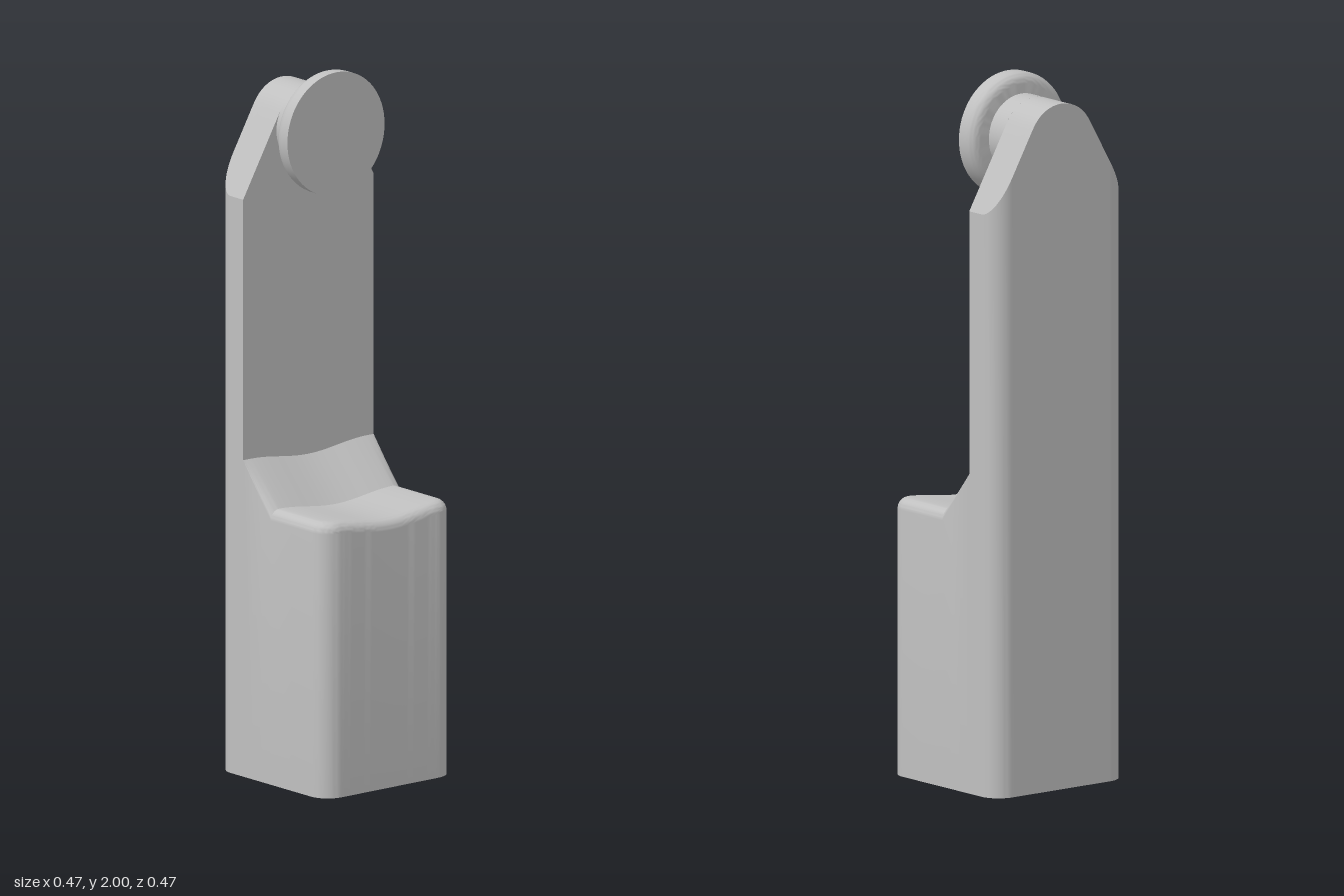
import * as THREE from 'three';
import { toCreasedNormals } from 'three/addons/utils/BufferGeometryUtils.js';

const HALF = 0.235, CORNER = 0.06, FILLET = 0.03;      // plan half-width, plan corner, top edge rounding
const PLATE_Z = -0.12;                                 // front face of the upright plate
const HEAD_Y = 1.828, HEAD_R = 0.115, SHOULDER_Y = 1.65;
const CORE = HALF - CORNER;

// Outline of the plate top: round head with straight tangent shoulders
const dx = HALF, dy = SHOULDER_Y - HEAD_Y;
const tangent = Math.atan2(dy, dx) + Math.acos(HEAD_R / Math.hypot(dx, dy));
const tx = HEAD_R * Math.cos(tangent), ty = HEAD_Y + HEAD_R * Math.sin(tangent);
function plateTop(x) {
  const a = Math.abs(x);
  if (a < tx) return HEAD_Y + Math.sqrt(HEAD_R * HEAD_R - a * a);
  return ty + (SHOULDER_Y - ty) * (a - tx) / (HALF - tx);
}

// Top of the base: dished seat with rounded rim, then a ramp up to the plate
function baseTop(x, z) {
  const a = Math.abs(x);
  const dip = a < 0.21 ? 0.0095 * (1 + Math.cos(Math.PI * a / 0.21)) : 0;
  const qx = a - CORE, qz = z - CORE;
  const inside = CORNER - Math.hypot(Math.max(qx, 0), Math.max(qz, 0)) - Math.min(Math.max(qx, qz), 0);
  const k = Math.min(Math.max(1 - inside / FILLET, 0), 1);
  const drop = FILLET * (1 - Math.sqrt(1 - k * k));
  const ramp = Math.max(-z, 0) / -PLATE_Z;
  return 0.785 - dip + 0.12 * ramp - drop * (1 - ramp);
}

// Columns across a slice, closer together along the rounded rim
function columns(w) {
  const rim = [];
  for (let i = 0; i < 6; i++) rim.push(w - FILLET * (1 - Math.cos(i * Math.PI / 12)));
  const xs = rim.map((x) => -x);
  const inner = w - FILLET;
  for (let i = 0; i <= 28; i++) xs.push(inner * (i / 14 - 1));
  return xs.concat(rim.reverse());
}

function bodyGeometry() {
  // Slices from back to front; two share the plate face to make its wall
  const slices = [];
  for (let i = 12; i >= 0; i--) {
    const a = i * Math.PI / 24;
    slices.push({ z: -CORE - CORNER * Math.sin(a), w: CORE + CORNER * Math.cos(a), top: plateTop });
  }
  slices.push({ z: PLATE_Z, w: HALF, top: plateTop });
  for (const z of [PLATE_Z, -0.08, -0.04, 0, 0.09]) slices.push({ z, w: HALF, top: baseTop });
  for (let i = 0; i <= 12; i++) {
    const a = i * Math.PI / 24;
    slices.push({ z: CORE + CORNER * Math.sin(a), w: CORE + CORNER * Math.cos(a), top: baseTop });
  }

  const pos = [], index = [];
  let n = 0;
  for (const { z, w, top } of slices) {
    const xs = columns(w);
    n = xs.length;
    for (const x of xs) pos.push(x, 0, z);
    for (const x of xs.slice().reverse()) pos.push(x, top(x, z), z);
  }
  const ring = 2 * n, last = (slices.length - 1) * ring;
  const quad = (a, b, c, d) => index.push(a, b, c, a, c, d);
  for (let s = 0; s < last; s += ring) {
    for (let j = 0; j < ring; j++) {
      const k = (j + 1) % ring;
      quad(s + j, s + k, s + ring + k, s + ring + j);
    }
  }
  // Back and front faces
  for (let j = 0; j < n - 1; j++) {
    const up = ring - 1 - j;
    quad(j, up, up - 1, j + 1);
    quad(last + j, last + j + 1, last + up - 1, last + up);
  }
  const g = new THREE.BufferGeometry();
  g.setAttribute('position', new THREE.Float32BufferAttribute(pos, 3));
  g.setIndex(index);
  return toCreasedNormals(g, 0.5);
}

export function createModel() {
  const model = new THREE.Group();
  const grey = new THREE.MeshStandardMaterial({ color: 0xc0c0c0 });
  grey.name = 'light grey';
  const add = (name, geometry) => {
    const mesh = new THREE.Mesh(geometry, grey);
    mesh.name = name;
    model.add(mesh);
    return mesh;
  };

  add('body', bodyGeometry());

  // Short round neck from the plate to the disc
  const neck = new THREE.CylinderGeometry(HEAD_R, HEAD_R, 0.065, 64, 1, true).rotateX(Math.PI / 2);
  add('neck', neck).position.set(0, HEAD_Y, -0.0875);

  // Button disc: flat front, rounded back edge
  const profile = [new THREE.Vector2(0, -0.058)];
  for (let i = 0; i <= 8; i++) {
    const a = i * Math.PI / 16;
    profile.push(new THREE.Vector2(0.145 + 0.03 * Math.sin(a), -0.028 - 0.03 * Math.cos(a)));
  }
  profile.push(new THREE.Vector2(0.175, 0), new THREE.Vector2(0, 0));
  const disc = new THREE.LatheGeometry(profile, 72).rotateX(Math.PI / 2);
  add('disc', toCreasedNormals(disc, 0.5)).position.y = 1.825;

  return model;
}
